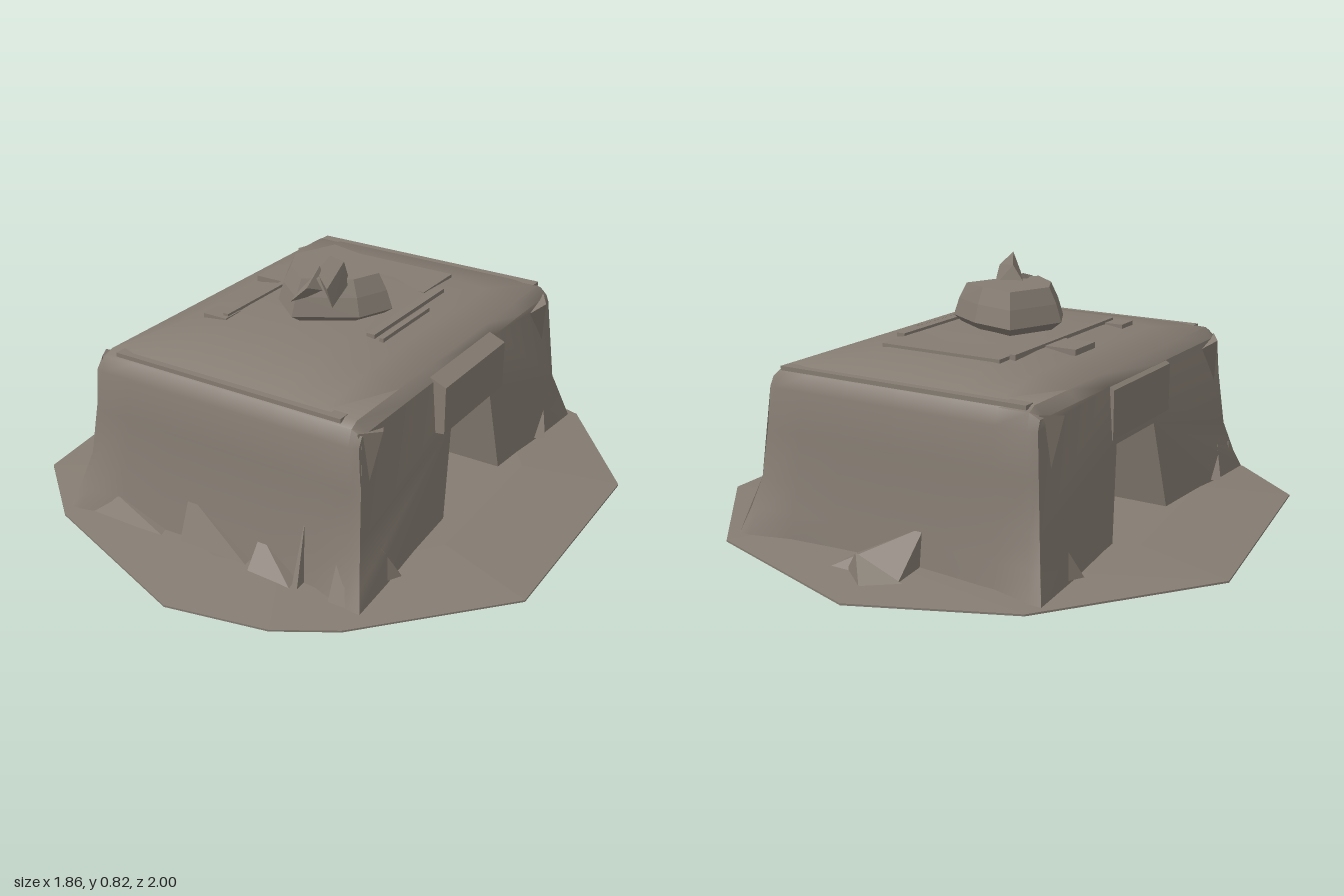
import * as THREE from 'three';
import { toCreasedNormals } from 'three/addons/utils/BufferGeometryUtils.js';
import { ConvexGeometry } from 'three/addons/geometries/ConvexGeometry.js';

const clay = new THREE.MeshStandardMaterial({ color: 0x857c72 });
clay.name = 'greyBrown';

// Piecewise linear lookup in a list of [input, output] pairs
function ramp(pairs, v) {
  for (let i = 1; i < pairs.length; i++) {
    const [a, fa] = pairs[i - 1], [b, fb] = pairs[i];
    if (v <= b) return fa + (fb - fa) * Math.max(0, (v - a) / (b - a));
  }
  return pairs[pairs.length - 1][1];
}

export function createModel() {
  const group = new THREE.Group();
  const add = (name, geometry) => {
    const mesh = new THREE.Mesh(geometry, clay);
    mesh.name = name;
    group.add(mesh);
    return mesh;
  };
  const hull = (name, pts) =>
    add(name, new ConvexGeometry(pts.map(p => new THREE.Vector3(...p))));

  // Ground slab: irregular outline, sloping gently up to the walls
  const rim = [[-0.04, -1], [0.58, -0.8], [0.91, -0.39], [0.93, 0.4], [0.55, 0.82], [0.37, 0.93],
    [0.04, 1], [-0.56, 0.78], [-0.82, 0.56], [-0.93, -0.27], [-0.53, -0.79]];
  hull('groundSlab', rim.flatMap(([x, z]) => [
    [x, 0, z], [x, 0.006, z], [x * 0.65, 0.03, z * 0.74],
  ]));

  // Body: side profile (z, y) with the passage cut in, extruded across x
  const profile = new THREE.Shape([
    [0.7, 0.02], [0.69, 0.08], [0.67, 0.2], [0.655, 0.36], [0.65, 0.5], [0.63, 0.55], [0.6, 0.57],
    [0.36, 0.618], [0.15, 0.63], [-0.22, 0.63], [-0.42, 0.615], [-0.62, 0.57], [-0.65, 0.55],
    [-0.665, 0.5], [-0.675, 0.36], [-0.685, 0.2], [-0.7, 0.1], [-0.71, 0.02],
    [-0.24, 0.02], [-0.18, 0.34], [0.09, 0.34], [0.165, 0.02],
  ].map(p => new THREE.Vector2(...p)));
  const body = new THREE.ExtrudeGeometry(profile, { depth: 2, steps: 8, bevelEnabled: false });
  body.translate(0, 0, -1).rotateY(-Math.PI / 2);
  const stations = [[0, 0], [0.25, 0.4], [0.5, 0.72], [0.75, 0.94], [1, 1]];
  const roof = [[0, 0.63], [0.4, 0.625], [0.72, 0.6], [0.94, 0.565], [1, 0.53]];
  const halfWidth = [[0.02, 0.525], [0.2, 0.51], [0.36, 0.502], [0.53, 0.49]];
  const flare = [[0.02, 0.055], [0.08, 0.035], [0.2, 0.01], [0.36, 0]];
  const pos = body.attributes.position;
  for (let i = 0; i < pos.count; i++) {
    const x = pos.getX(i), z = pos.getZ(i), t = ramp(stations, Math.abs(x));
    const y = Math.min(pos.getY(i), ramp(roof, t));
    const outer = Math.abs(z) > 0.5;
    // Corner feet spread outwards while the upper corners are softened
    const spread = outer ? ramp(flare, y) * ramp([[0.7, 0], [1, 1]], t) : 0;
    const soften = outer && t > 0.99 ? 0.01 : 0;
    pos.setXYZ(i, Math.sign(x) * (t * ramp(halfWidth, y) + spread * 0.7), y,
      z + Math.sign(z) * (spread - soften));
  }
  body.deleteAttribute('normal');
  body.deleteAttribute('uv');
  add('body', toCreasedNormals(body, 0.75));

  // Lintels above both passage mouths, and thin fins near the corners
  for (const s of [-1, 1]) {
    const side = s > 0 ? 'left' : 'right';
    const out = s > 0 ? 0.535 : 0.505;
    hull(side + 'Lintel', [0.2, -0.21].flatMap(z => [
      [s * 0.43, 0.35, z], [s * out, 0.36, z], [s * out, 0.52, z], [s * 0.44, 0.56, z],
    ]));
    for (const f of [-1, 1]) {
      hull(side + (f > 0 ? 'Front' : 'Back') + 'Fin', [
        [s * 0.48, 0.54, f * 0.63], [s * 0.525, 0.53, f * 0.56], [s * 0.5, 0.36, f * 0.6],
        [s * 0.48, 0.5, f * 0.48],
      ]);
      hull(side + (f > 0 ? 'Front' : 'Back') + 'Foot', [
        [s * 0.5, 0.24, f * 0.62], [s * 0.575, 0.03, f * 0.52], [s * 0.5, 0.03, f * 0.46],
        [s * 0.5, 0.03, f * 0.66],
      ]);
    }
  }

  // Faceted turret: one outline scaled at several heights
  const outline = [[-0.1, -0.16], [0.06, -0.12], [0.22, 0], [0.17, 0.12], [0.0, 0.25], [-0.12, 0.15], [-0.18, 0.03]];
  hull('turret', [[0.61, 0.72], [0.655, 1.02], [0.715, 0.92], [0.77, 0.78]].flatMap(([y, k]) =>
    outline.map(([x, z]) => [0.01 + (x - 0.01) * k, x > 0.1 ? y - 0.01 : y, 0.02 + (z - 0.02) * k])));

  // Tapered gun with a smaller stub beside it
  hull('gun', [
    [-0.02, 0.75, 0.08], [0.11, 0.74, 0.08], [0.04, 0.82, 0.09], [0.1, 0.815, 0.1],
    [0.16, 0.765, 0.28], [0.21, 0.765, 0.34], [0.19, 0.82, 0.34], [0.14, 0.8, 0.26],
  ]);
  hull('gunStub', [
    [-0.03, 0.72, 0.14], [0.07, 0.72, 0.14], [0.02, 0.79, 0.12], [0.0, 0.71, 0.26], [0.05, 0.76, 0.24],
  ]);

  // Thin ridges and plates lying on the roof: x, y, z, width, height, length
  [
    ['roofRidge', -0.23, 0.618, -0.03, 0.02, 0.024, 0.66],
    ['roofRidge', 0.25, 0.616, -0.05, 0.03, 0.024, 0.46],
    ['roofRidge', 0.29, 0.612, 0.03, 0.015, 0.02, 0.3],
    ['roofPlate', -0.29, 0.613, -0.11, 0.12, 0.02, 0.13],
    ['roofPlate', -0.26, 0.612, 0.28, 0.09, 0.02, 0.08],
    ['backRoofPlate', 0.0, 0.615, -0.32, 0.44, 0.02, 0.2],
    ['frontRoofLip', 0.0, 0.562, 0.605, 0.84, 0.014, 0.04],
    ['backRoofLip', 0.0, 0.562, -0.63, 0.9, 0.014, 0.04],
  ].forEach(([name, x, y, z, w, h, d]) =>
    add(name, new THREE.BoxGeometry(w, h, d)).position.set(x, y, z));

  // Jagged shards at the foot of the front and back walls
  const shard = (name, x, z, w, h, depth) => hull(name, [
    [x - w / 2, 0.02, z], [x + w / 2, 0.02, z], [x - w / 2, h, z],
    [x - w / 2, 0.02, z + depth], [x + w / 2, 0.02, z + depth],
  ]);
  shard('frontShard', -0.36, 0.67, 0.36, 0.13, 0.06);
  shard('frontShard', 0.02, 0.67, 0.27, 0.17, 0.06);
  shard('frontShard', 0.24, 0.67, 0.16, 0.12, 0.08);
  shard('frontShard', 0.33, 0.66, 0.02, 0.23, 0.08);
  shard('frontShard', 0.5, 0.66, 0.1, 0.2, 0.08);
  shard('backShard', 0.01, -0.68, 0.25, 0.15, -0.14);
  hull('backSpike', [[-0.13, 0.02, -0.82], [0.08, 0.02, -0.81], [-0.03, 0.02, -0.9], [0.02, 0.095, -0.845]]);

  return group;
}
